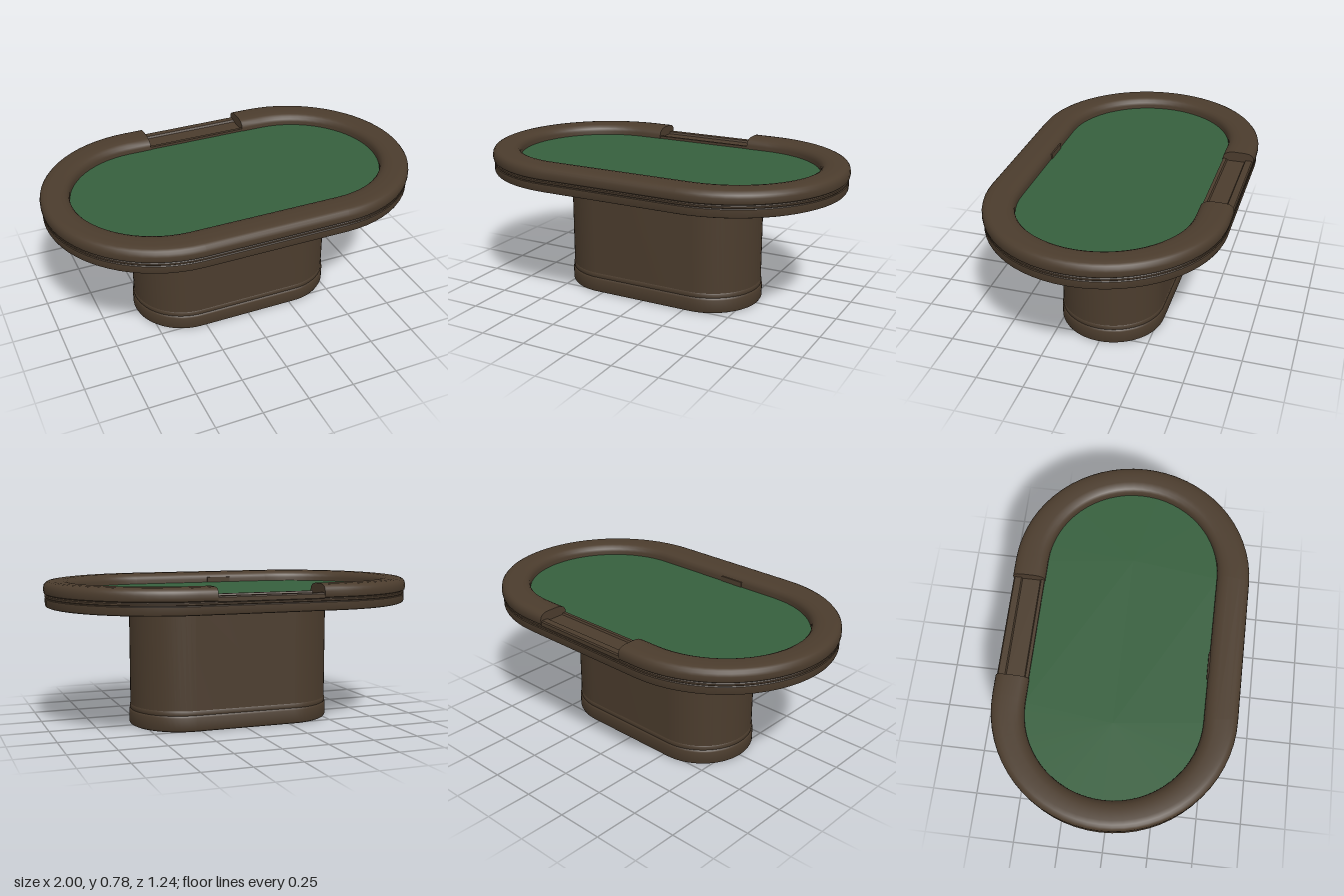
import * as THREE from 'three';
import { toCreasedNormals } from 'three/addons/utils/BufferGeometryUtils.js';

const wood = new THREE.MeshStandardMaterial({ color: 0x4b3c2d });
wood.name = 'dark brown';
const felt = new THREE.MeshStandardMaterial({ color: 0x365f3d });
felt.name = 'green felt';

const GAP = 0.28; // half width of the dealer tray opening

// Stations round a stadium: a half circle at each end, from back right to back left.
function arcStations(steps = 32) {
  const list = [];
  for (const side of [1, -1])
    for (let i = 0; i <= steps; i++)
      list.push({ side, a: (side > 0 ? -0.5 : 0.5) * Math.PI + (Math.PI * i) / steps });
  return list;
}

// Sweep a profile of [radius, y] along stations; half(r) is the half length of the straight.
function sweep(profile, stations, half, { closedPath = false, closedProfile = false, crease = 0.55 } = {}) {
  const n = profile.length, pos = [], idx = [];
  for (const s of stations)
    for (const [r, y] of profile) {
      const x = s.x !== undefined ? s.x : s.side * half(r) + r * Math.cos(s.a);
      pos.push(x, y, s.x !== undefined ? -r : r * Math.sin(s.a));
    }
  const rows = closedPath ? stations.length : stations.length - 1;
  const cols = closedProfile ? n : n - 1;
  for (let i = 0; i < rows; i++)
    for (let j = 0; j < cols; j++) {
      const i2 = ((i + 1) % stations.length) * n, j2 = (j + 1) % n;
      const a = i * n + j, b = i * n + j2, c = i2 + j2, d = i2 + j;
      idx.push(a, b, c, a, c, d);
    }
  // Flat caps on open ends
  if (!closedPath) {
    const last = (stations.length - 1) * n;
    const tris = THREE.ShapeUtils.triangulateShape(profile.map(p => new THREE.Vector2(...p)), []);
    for (const [a, b, c] of tris) idx.push(a, c, b, last + a, last + b, last + c);
  }
  const g = new THREE.BufferGeometry();
  g.setAttribute('position', new THREE.Float32BufferAttribute(pos, 3));
  g.setIndex(idx);
  return toCreasedNormals(g, crease);
}

export function createModel() {
  const model = new THREE.Group();
  model.name = 'cardTable';
  const add = (name, geometry, material = wood) => {
    const m = new THREE.Mesh(geometry, material);
    m.name = name;
    model.add(m);
    return m;
  };
  const ring = arcStations();
  const topHalf = r => 0.38 + (0.62 - r) * 0.12;
  const baseHalf = () => 0.28;
  const loop = { closedPath: true };

  // Pedestal with stepped plinth
  add('pedestal', sweep([[0.274, 0.1], [0.274, 0.66]], ring, baseHalf, loop));
  add('plinth', sweep([
    [0, 0], [0.268, 0], [0.276, 0.004], [0.281, 0.014], [0.281, 0.075], [0.278, 0.083],
    [0.275, 0.086], [0.277, 0.09], [0.277, 0.106], [0.274, 0.111], [0.26, 0.111],
  ], ring, baseHalf, loop));

  // Table deck with recessed underside and grooved edge
  add('apron', sweep([
    [0, 0.658], [0.46, 0.658], [0.46, 0.646], [0.603, 0.646], [0.611, 0.649], [0.615, 0.657],
    [0.615, 0.69], [0.611, 0.694], [0.615, 0.698], [0.615, 0.706], [0.609, 0.711], [0, 0.711],
  ], ring, topHalf, loop));

  // Playing surface
  add('playingSurface', sweep([[0.46, 0.722], [0, 0.722]], ring, topHalf, loop), felt);

  // Padded arm rail, open at the back
  add('armRail', sweep([
    [0.452, 0.711], [0.612, 0.711], [0.619, 0.716], [0.622, 0.726], [0.622, 0.745], [0.618, 0.76],
    [0.608, 0.771], [0.594, 0.777], [0.57, 0.78], [0.51, 0.78], [0.485, 0.776], [0.467, 0.768],
    [0.456, 0.756], [0.452, 0.742],
  ], [{ x: GAP }, ...ring, { x: -GAP }], topHalf, { closedProfile: true }));

  // Dealer tray filling the opening
  add('dealerTray', sweep([
    [0.455, 0.705], [0.612, 0.705], [0.618, 0.711], [0.618, 0.732], [0.612, 0.738], [0.578, 0.738],
    [0.572, 0.727], [0.478, 0.727], [0.472, 0.736], [0.455, 0.736],
  ], [{ x: -GAP }, { x: GAP }], topHalf, { closedProfile: true, crease: 0.3 }));

  // Drop slot on the inner face of the front rail
  const slot = add('dropSlot', new THREE.BoxGeometry(0.14, 0.028, 0.008));
  slot.position.set(-0.1, 0.737, 0.45);

  return model;
}
